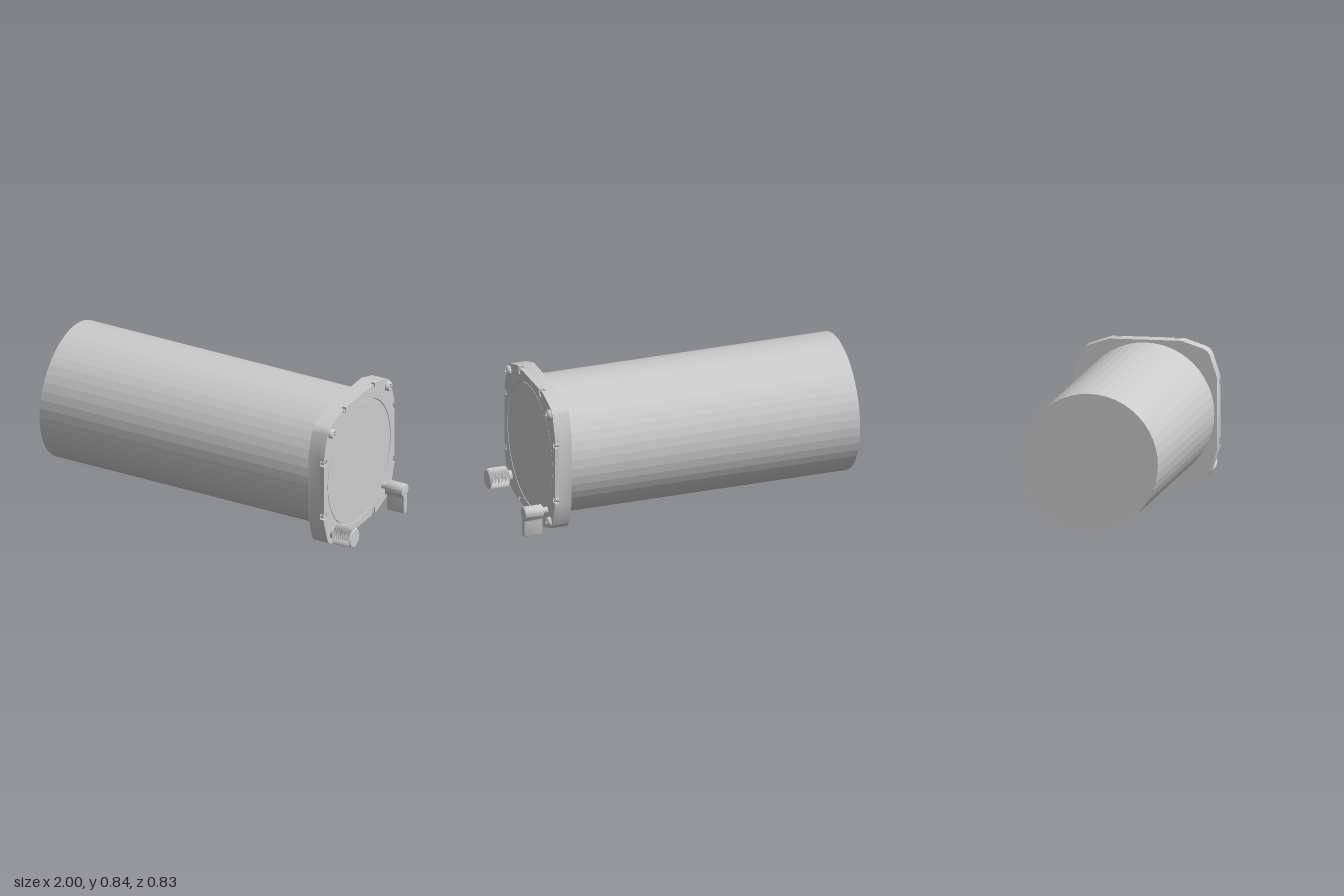
import * as THREE from 'three';
import { toCreasedNormals } from 'three/addons/utils/BufferGeometryUtils.js';

const CENTER_Y = 0.427;
const FACE = 0.855;   // front of the bezel along the instrument axis
const grey = new THREE.MeshStandardMaterial({ color: 0xcccccc });
const faceted = new THREE.MeshStandardMaterial({ color: 0xcccccc, flatShading: true });

// The instrument is built facing +z and turned to face +x at the end.
export function createModel() {
  const model = new THREE.Group();
  model.name = 'panelInstrument';

  const add = (parent, name, geometry, z = 0, material = grey) => {
    const mesh = new THREE.Mesh(geometry, material);
    mesh.name = name;
    mesh.position.z = z;
    parent.add(mesh);
    return mesh;
  };
  const group = (name, x, y, z) => {
    const g = new THREE.Group();
    g.name = name;
    g.position.set(x, y, z);
    model.add(g);
    return g;
  };
  const extrude = (shape, depth, bevel = 0) => toCreasedNormals(new THREE.ExtrudeGeometry(shape, {
    depth: depth - 2 * bevel, bevelEnabled: bevel > 0, bevelSize: bevel, bevelThickness: bevel,
    bevelOffset: -bevel, bevelSegments: 3, curveSegments: 32,
  }).translate(0, 0, bevel), 0.5);
  const rod = (radius, depth, sides = 32) =>
    new THREE.CylinderGeometry(radius, radius, depth, sides).rotateX(Math.PI / 2).translate(0, 0, depth / 2);
  const disc = (radius) => new THREE.Shape().absarc(0, 0, radius, 0, Math.PI * 2);

  // Bezel outline: one quarter repeated four times, with optional screw notches
  const bezelShape = (notched) => {
    const quarter = [];
    const notch = (rotated) => {
      const pts = [[0.416, 0.153]];
      for (let i = 0; i <= 10; i++) {
        const a = -Math.PI / 2 - (i / 10) * Math.PI;
        pts.push([0.395 + 0.018 * Math.cos(a), 0.171 + 0.018 * Math.sin(a)]);
      }
      pts.push([0.416, 0.189]);
      quarter.push(...(rotated ? pts.map(([x, y]) => [y, x]).reverse() : pts));
    };
    if (notched) notch(false);
    quarter.push([0.416, 0.208]);
    const corner = new THREE.QuadraticBezierCurve(
      new THREE.Vector2(0.376, 0.33), new THREE.Vector2(0.364, 0.364), new THREE.Vector2(0.33, 0.376));
    corner.getPoints(8).forEach((p) => quarter.push([p.x, p.y]));
    quarter.push([0.208, 0.416]);
    if (notched) notch(true);
    const points = [];
    for (let k = 0; k < 4; k++) {
      for (const [x, y] of quarter) {
        points.push(new THREE.Vector2(x, y).rotateAround(new THREE.Vector2(), k * Math.PI / 2));
      }
    }
    return new THREE.Shape(points);
  };

  // Housing and two-layer bezel with a fine groove around the dial glass
  add(model, 'housing', rod(0.4, 1.757, 48), -1, faceted);
  add(model, 'bezelBack', extrude(bezelShape(false), 0.075), 0.755);
  const front = bezelShape(true);
  front.holes.push(disc(0.372));
  add(model, 'bezelFront', extrude(front, 0.025), 0.83);
  add(model, 'dialGlass', rod(0.367, 0.024, 96), 0.83);

  // Small slotted screws sitting in the edge notches
  const slotted = disc(0.0165);
  slotted.holes.push(new THREE.Path([[-0.0145, -0.003], [-0.0145, 0.003], [0.0145, 0.003], [0.0145, -0.003]]
    .map(([x, y]) => new THREE.Vector2(x, y))));
  const slottedHead = extrude(slotted, 0.008);
  for (let k = 0; k < 4; k++) {
    for (const side of [-1, 1]) {
      const p = new THREE.Vector2(0.395, 0.171 * side).rotateAround(new THREE.Vector2(), k * Math.PI / 2);
      const screw = group('edgeScrew', p.x, p.y, 0.83);
      screw.rotation.z = k * 1.3 + side * 0.5;
      add(screw, 'shank', rod(0.0165, 0.012, 24));
      add(screw, 'slottedHead', slottedHead, 0.012);
    }
  }

  // Domed mounting screws with a cross recess
  const a = 0.005, b = 0.017;
  const crossHead = disc(0.021);
  crossHead.holes.push(new THREE.Path([[a, a], [b, a], [b, -a], [a, -a], [a, -b], [-a, -b],
    [-a, -a], [-b, -a], [-b, a], [-a, a], [-a, b], [a, b]].map(([x, y]) => new THREE.Vector2(x, y))));
  const crossTop = extrude(crossHead, 0.012);
  const pos = crossTop.attributes.position;
  for (let i = 0; i < pos.count; i++) {
    pos.setZ(i, pos.getZ(i) - 9 * (pos.getX(i) ** 2 + pos.getY(i) ** 2));
  }
  const dome = new THREE.LatheGeometry([[0.03, 0], [0.03, 0.005], [0.0285, 0.012], [0.0255, 0.017], [0.021, 0.021]]
    .map(([x, y]) => new THREE.Vector2(x, y)), 32).rotateX(Math.PI / 2);
  for (const [x, y, turn] of [[-0.333, 0.333, 0.35], [0.333, 0.333, 0.35], [0.333, -0.334, 0]]) {
    const screw = group('mountingScrew', x, y, FACE);
    screw.rotation.z = turn;
    add(screw, 'screwDome', dome);
    add(screw, 'crossHead', crossTop, 0.013);
    add(screw, 'recessFloor', rod(0.02, 0.013, 24));
  }

  // Knurled adjustment knob
  const knob = group('adjustmentKnob', -0.314, -0.314, FACE);
  add(knob, 'knobShaft', rod(0.032, 0.03));
  const teeth = 60, rim = [];
  for (let i = 0; i < teeth * 2; i++) {
    const t = (i / (teeth * 2)) * Math.PI * 2, r = i % 2 ? 0.0595 : 0.056;
    rim.push(new THREE.Vector2(r * Math.cos(t), r * Math.sin(t)));
  }
  add(knob, 'knurledGrip', extrude(new THREE.Shape(rim), 0.11), 0.028);
  add(knob, 'knobCap', new THREE.CylinderGeometry(0.052, 0.056, 0.007, 48).rotateX(Math.PI / 2), 0.1415);

  // Lever: round boss with a straight blade hanging down
  const lever = group('lever', 0.283, -0.282, FACE);
  add(lever, 'leverShaft', rod(0.02, 0.04));
  const w = 0.019, R = 0.039, low = -0.142, c = 0.008;
  const blade = new THREE.Shape();
  blade.moveTo(-w + c, low);
  blade.lineTo(w - c, low);
  blade.quadraticCurveTo(w, low, w, low + c);
  blade.lineTo(w, -0.05);
  blade.quadraticCurveTo(w, -0.038, 0.027, -0.028);
  blade.absarc(0, 0, R, Math.atan2(-0.028, 0.027), Math.PI - Math.atan2(-0.028, 0.027), false);
  blade.quadraticCurveTo(-w, -0.038, -w, -0.05);
  blade.lineTo(-w, low + c);
  blade.quadraticCurveTo(-w, low, -w + c, low);
  add(lever, 'leverHandle', extrude(blade, 0.112, 0.004), 0.033);

  model.rotation.y = Math.PI / 2;
  model.position.y = CENTER_Y;
  const root = new THREE.Group();
  root.name = 'instrument';
  root.add(model);
  return root;
}
